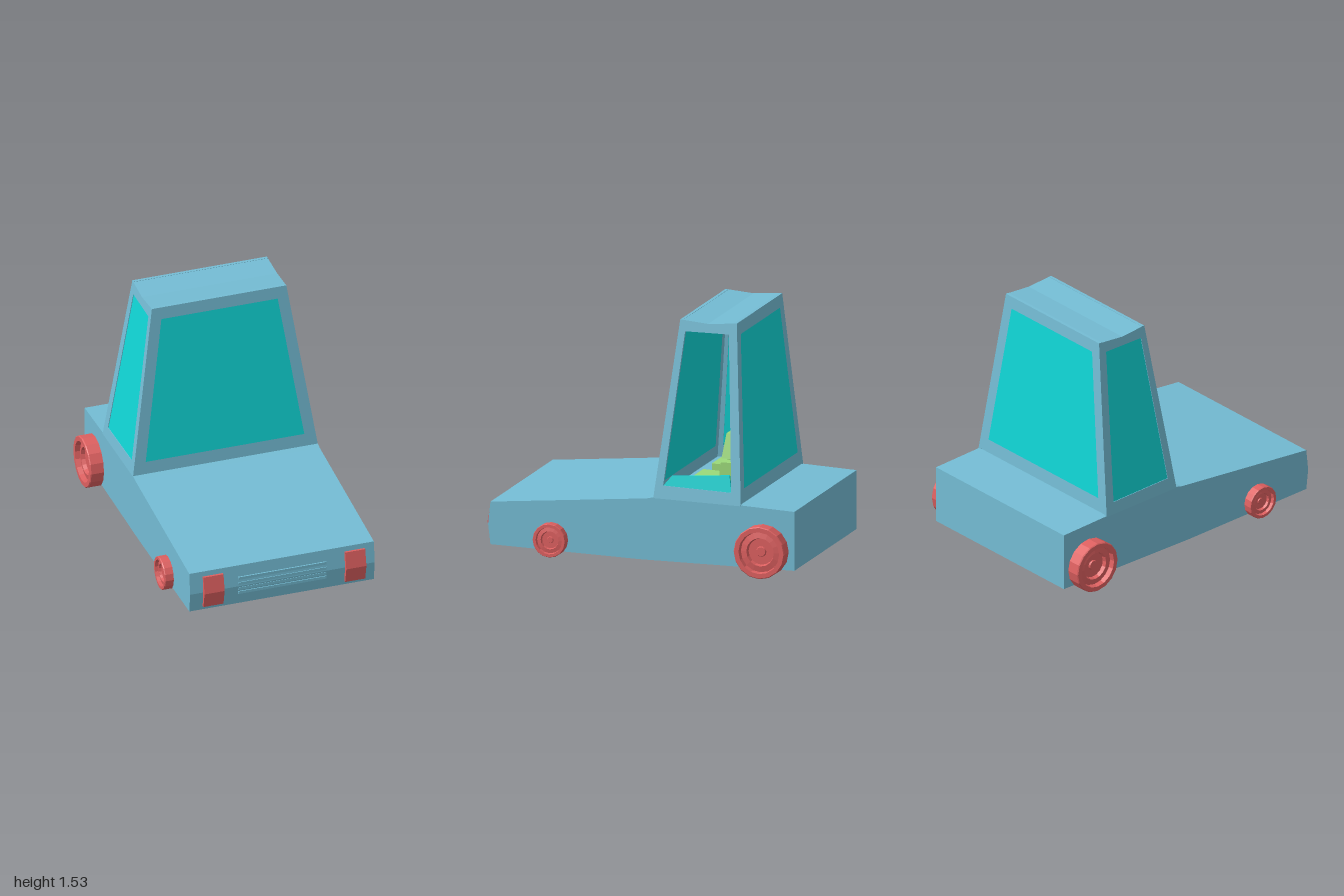
import * as THREE from 'three';

const mat = (color) => new THREE.MeshStandardMaterial({ color, flatShading: true, side: THREE.DoubleSide });
const BLUE = mat(0x74bcd4), CYAN = mat(0x10d6d6), RED = mat(0xdd6060), GREEN = mat(0x9cda7a);

const toShape = (pts) => new THREE.Shape(pts.map(([u, v]) => new THREE.Vector2(u, v)));

function add(parent, name, geometry, material) {
  const mesh = new THREE.Mesh(geometry, material);
  mesh.name = name;
  parent.add(mesh);
  return mesh;
}

// Side profile given as [z, y] pairs, extruded across from x0 to x1
function acrossX(pts, x0, x1) {
  const g = new THREE.ExtrudeGeometry(toShape(pts), { depth: x1 - x0, bevelEnabled: false });
  g.rotateY(-Math.PI / 2);
  g.translate(x1, 0, 0);
  return g;
}

// Leaning cabin planes: (u, v, d) is across, up, outward
const BASE = 0.44, TOP = 1.535;
const lean = (a, b, v) => a + (b - a) * (v - BASE) / (TOP - BASE);
const PLANES = {
  front: (u, v, d) => [u, v, lean(-0.09, -0.21, v) + d],
  back: (u, v, d) => [-u, v, lean(-0.655, -0.575, v) - d],
  left: (u, v, d) => [lean(0.598, 0.435, v) + d, v, -u],
  right: (u, v, d) => [-lean(0.598, 0.435, v) - d, v, u],
};

function panel(plane, outline, hole, from, to) {
  const shape = toShape(outline);
  if (hole) shape.holes.push(toShape(hole));
  const g = new THREE.ExtrudeGeometry(shape, { depth: to - from, bevelEnabled: false });
  const p = g.attributes.position;
  for (let i = 0; i < p.count; i++) {
    p.setXYZ(i, ...PLANES[plane](p.getX(i), p.getY(i), p.getZ(i) + from));
  }
  g.computeVertexNormals();
  return g;
}

function makeWheel(name, x, y, z, r, inner) {
  const w = x - inner, e = r * 0.3;
  const profile = [
    [0, 0], [r, 0], [r, w - 0.006], [r * 0.97, w], [r * 0.8, w], [r * 0.77, w - e * 0.65],
    [r * 0.54, w - e * 0.5], [r * 0.5, w - e], [r * 0.2, w - e], [r * 0.17, w - e * 0.8], [0, w - e * 0.8],
  ].map(([a, b]) => new THREE.Vector2(a, b));
  const g = new THREE.LatheGeometry(profile, 16);
  g.rotateZ(-Math.PI / 2);
  const mesh = new THREE.Mesh(g, RED);
  mesh.name = name;
  mesh.position.set(inner, y, z);
  return mesh;
}

function makeSeat(name) {
  const seat = new THREE.Group();
  seat.name = name;
  add(seat, 'seatCushion', acrossX([[-0.24, 0.44], [-0.24, 0.52], [-0.5, 0.51], [-0.5, 0.44]], 0.08, 0.48), GREEN);
  add(seat, 'seatBack', acrossX([[-0.465, 0.45], [-0.478, 0.6], [-0.487, 0.668], [-0.583, 0.668], [-0.592, 0.45]], 0.08, 0.48), GREEN);
  add(seat, 'headrestPost', new THREE.BoxGeometry(0.24, 0.04, 0.07).translate(0.28, 0.68, -0.535), GREEN);
  // Headrest narrows towards its top
  const head = acrossX([[-0.484, 0.688], [-0.505, 0.84], [-0.57, 0.84], [-0.584, 0.688]], 0.1, 0.46);
  const p = head.attributes.position;
  for (let i = 0; i < p.count; i++) {
    if (p.getY(i) > 0.8) p.setX(i, 0.28 + (p.getX(i) - 0.28) * 0.8);
  }
  head.computeVertexNormals();
  add(seat, 'headrest', head, GREEN);
  add(seat, 'headrestPad', acrossX([[-0.479, 0.715], [-0.494, 0.81], [-0.52, 0.81], [-0.52, 0.715]], 0.16, 0.4), GREEN);
  return seat;
}

export function createModel() {
  const car = new THREE.Group();
  car.name = 'car';

  // Wedge body
  add(car, 'body', acrossX([
    [-1, 0.05], [0, 0.05], [0.96, 0.073], [0.975, 0.2], [0.96, 0.34],
    [-0.05, 0.435], [-0.09, 0.445], [-0.655, 0.435], [-1, 0.42],
  ], -0.597, 0.597), BLUE);

  // Cabin: four framed windows, the left one wound down
  const cabin = new THREE.Group();
  cabin.name = 'cabin';
  car.add(cabin);
  const endOutline = [[-0.598, BASE], [0.598, BASE], [0.435, TOP], [-0.435, TOP]];
  const endHole = [[-0.513, 0.525], [0.513, 0.525], [0.376, 1.457], [-0.376, 1.457]];
  const sideOutline = [[-0.09, BASE], [-0.655, 0.43], [-0.575, TOP], [-0.39, 1.52], [-0.21, TOP]];
  const sideHole = [[-0.15, 0.52], [-0.59, 0.507], [-0.527, 1.465], [-0.245, 1.465]];
  const loweredGlass = [[-0.15, 0.52], [-0.2, 0.58], [-0.572, 0.61], [-0.59, 0.507]];
  const flip = (pts, s) => pts.map(([z, y]) => [z * s, y]);
  for (const end of ['front', 'back']) {
    add(cabin, end + 'WindowFrame', panel(end, endOutline, endHole, -0.02, 0), BLUE);
    add(cabin, end + 'Window', panel(end, endHole, null, -0.02, 0), CYAN);
  }
  for (const [side, s] of [['left', -1], ['right', 1]]) {
    add(cabin, side + 'WindowFrame', panel(side, flip(sideOutline, s), flip(sideHole, s), -0.02, 0), BLUE);
    add(cabin, side + 'Window', panel(side, flip(s < 0 ? loweredGlass : sideHole, s), null, -0.018, -0.004), CYAN);
  }
  // Roof with a shallow dip along its middle
  add(cabin, 'roof', acrossX([
    [-0.21, TOP], [-0.39, 1.52], [-0.575, TOP], [-0.572, 1.485], [-0.215, 1.485],
  ], -0.434, 0.434), BLUE);

  // Seats
  car.add(makeSeat('leftSeat'));
  const rightSeat = makeSeat('rightSeat');
  rightSeat.position.x = -0.56;
  car.add(rightSeat);

  // Wheels, larger at the back
  for (const s of [1, -1]) {
    const axle = new THREE.Group();
    axle.name = s > 0 ? 'leftWheels' : 'rightWheels';
    axle.add(makeWheel('rearWheel', 0.684, 0.165, -0.8, 0.164, 0.52));
    axle.add(makeWheel('frontWheel', 0.654, 0.135, 0.565, 0.106, 0.53));
    if (s < 0) axle.rotation.y = Math.PI;
    // Turned half round, so the wheel positions along z are swapped back
    if (s < 0) axle.children.forEach((w) => { w.position.z *= -1; });
    car.add(axle);
  }

  // Chevron headlights
  const lamp = [[0.955, 0.098], [0.978, 0.098], [1, 0.2], [0.978, 0.307], [0.955, 0.307]];
  add(car, 'leftHeadlight', acrossX(lamp, 0.405, 0.535), RED);
  add(car, 'rightHeadlight', acrossX(lamp, -0.512, -0.382), RED);

  // Grille slats
  for (const y of [0.155, 0.183, 0.218, 0.255]) {
    const slat = add(car, 'grilleSlat', new THREE.BoxGeometry(0.57, 0.018, 0.02), BLUE);
    slat.position.set(0, y, 0.967);
  }
  return car;
}
